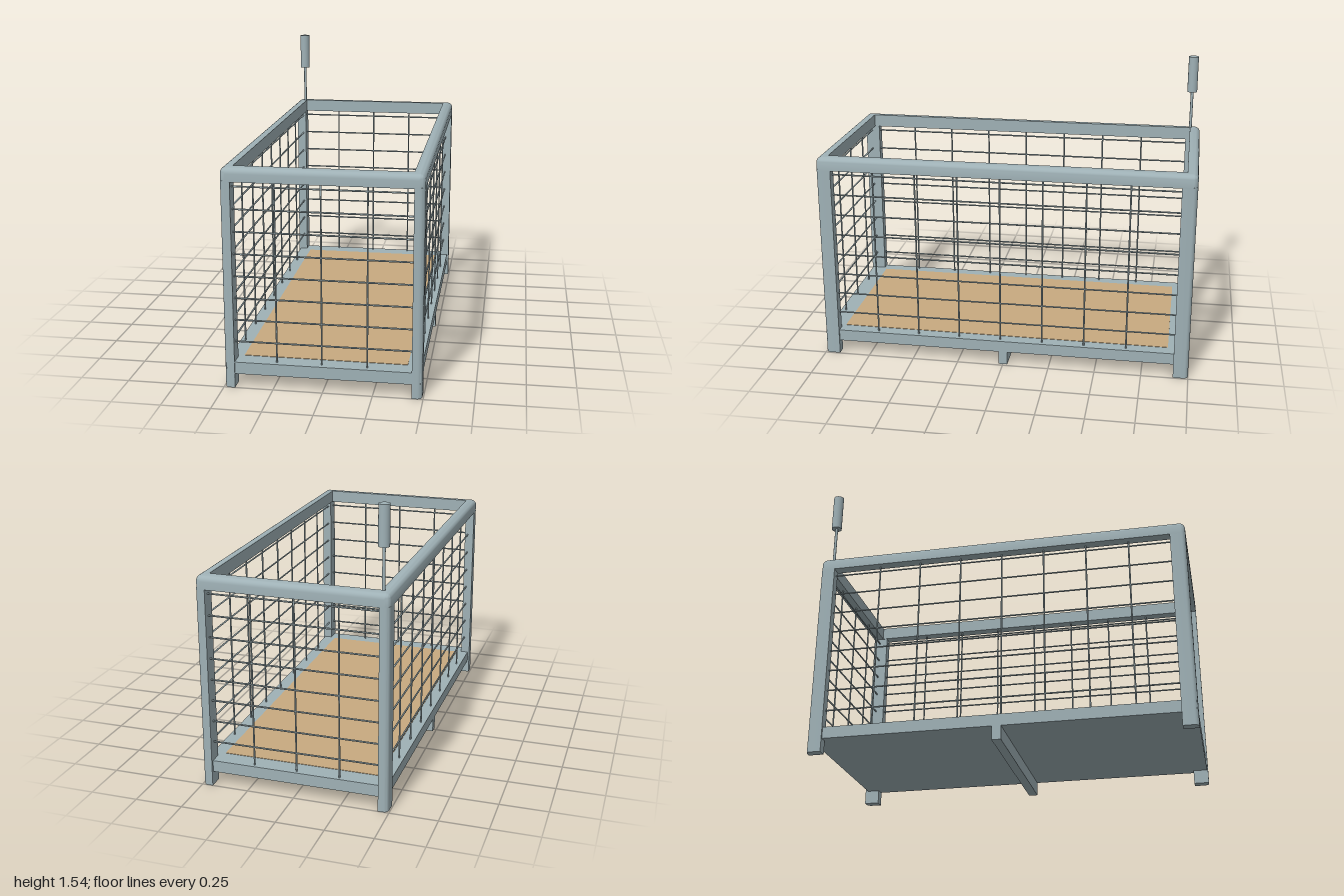
import * as THREE from 'three';
import { toCreasedNormals } from 'three/addons/utils/BufferGeometryUtils.js';

const HX = 0.495, HZ = 1, TOP = 1.13, RAIL_Y = 1.06, DECK_Y = 0.135, R = 0.03;

export function createModel() {
  const model = new THREE.Group();
  model.name = 'meshCage';
  const steel = new THREE.MeshStandardMaterial({ color: 0x9fb1b6 });
  const wood = new THREE.MeshStandardMaterial({ color: 0xc8aa80 });

  const add = (name, geometry, x = 0, y = 0, z = 0, material = steel, parent = model) => {
    const mesh = new THREE.Mesh(geometry, material);
    mesh.name = name;
    mesh.position.set(x, y, z);
    parent.add(mesh);
    return mesh;
  };
  const box = (name, w, h, d, x, y, z, material) =>
    add(name, new THREE.BoxGeometry(w, h, d), x, y, z, material);

  // Top rail: a rectangular ring with rounded outer edge and corners
  add('topRail', railGeometry());

  // Corner posts, rounded on the outer corner
  for (const sx of [-1, 1]) for (const sz of [-1, 1]) {
    const s = new THREE.Shape();
    s.moveTo(sx * 0.443, -sz * 0.92);
    s.lineTo(sx * HX, -sz * 0.92);
    s.lineTo(sx * HX, -sz * (HZ - R));
    s.quadraticCurveTo(sx * HX, -sz * HZ, sx * (HX - R), -sz * HZ);
    s.lineTo(sx * 0.443, -sz * HZ);
    s.closePath();
    const g = new THREE.ExtrudeGeometry(s, { depth: RAIL_Y + 0.005, bevelEnabled: false, curveSegments: 6 });
    g.rotateX(-Math.PI / 2);
    add('cornerPost', toCreasedNormals(g, 0.6));
  }

  // Floor deck, wooden panel and the support bar beneath
  box('floorDeck', 0.97, 0.062, 1.98, 0, 0.104, 0.005);
  box('floorPanel', 0.83, 0.006, 1.79, 0, 0.134, 0.008, wood);
  box('supportBar', 0.97, 0.076, 0.048, 0, 0.038, 0);

  // Wire mesh on all four sides
  const wires = new THREE.Group();
  wires.name = 'wireMesh';
  model.add(wires);
  const r = 0.0045, height = RAIL_Y - DECK_Y + 0.02;
  const upright = new THREE.CylinderGeometry(r, r, height, 6);
  const alongX = new THREE.CylinderGeometry(r, r, 0.94, 6).rotateZ(Math.PI / 2);
  const alongZ = new THREE.CylinderGeometry(r, r, 1.9, 6).rotateX(Math.PI / 2);
  const midY = (RAIL_Y + DECK_Y) / 2;
  for (const side of [-1, 1]) {
    const wx = side * 0.46, wz = side * 0.965;
    for (let i = 0; i < 8; i++) {
      const y = 0.235 + i * 0.1138;
      add('endWire', alongX, 0, y, wz, steel, wires);
      add('sideWire', alongZ, wx, y, 0, steel, wires);
    }
    for (let i = -1; i <= 1; i++) add('endUpright', upright, -0.007 + i * 0.227, midY, wz, steel, wires);
    for (let i = -3; i <= 3; i++) add('sideUpright', upright, wx, midY, 0.018 + i * 0.2275, steel, wires);
  }

  // Rod with a cylindrical grip on the back right corner
  add('handleRod', new THREE.CylinderGeometry(0.008, 0.008, 0.28, 12), -0.448, 1.21, -0.945);
  add('handleGrip', new THREE.CylinderGeometry(0.028, 0.028, 0.203, 24), -0.448, 1.4435, -0.945);

  return model;
}

// Sweeps the rail's section around a rounded rectangle
function railGeometry() {
  // section as [inset from the outside, height]
  const section = [[0.057, RAIL_Y], [0, RAIL_Y]];
  for (let i = 0; i <= 6; i++) {
    const a = (i / 6) * Math.PI / 2;
    section.push([R * (1 - Math.cos(a)), TOP - R + R * Math.sin(a)]);
  }
  section.push([0.057, TOP], [0.057, RAIL_Y]);

  const steps = 6, n = 4 * (steps + 1), pos = [], index = [];
  for (const [inset, y] of section) {
    const rad = Math.max(R - inset, 0);
    for (let c = 0; c < 4; c++) for (let k = 0; k <= steps; k++) {
      const a = (c + k / steps) * Math.PI / 2;
      const sx = c === 0 || c === 3 ? 1 : -1, sz = c < 2 ? 1 : -1;
      pos.push(sx * (HX - inset - rad) + rad * Math.cos(a), y, sz * (HZ - inset - rad) + rad * Math.sin(a));
    }
  }
  for (let j = 0; j < section.length - 1; j++) for (let i = 0; i < n; i++) {
    const a = j * n + i, b = j * n + (i + 1) % n;
    index.push(a, a + n, b, b, a + n, b + n);
  }
  const g = new THREE.BufferGeometry();
  g.setAttribute('position', new THREE.Float32BufferAttribute(pos, 3));
  g.setIndex(index);
  return toCreasedNormals(g, 0.6);
}
